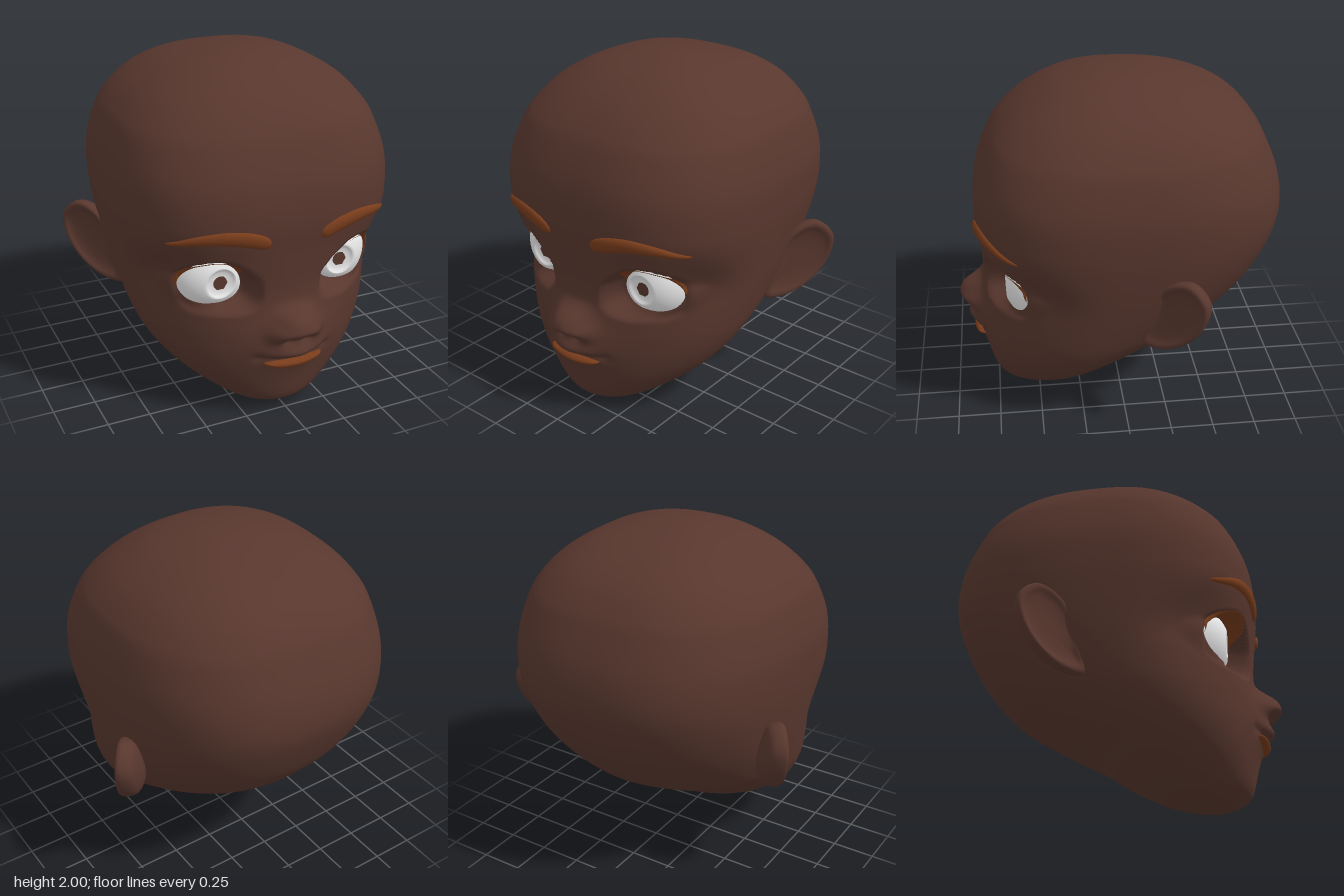
import * as THREE from 'three';

const skin = new THREE.MeshStandardMaterial({ color: 0x58372e });
skin.name = 'brown skin';
const hair = new THREE.MeshStandardMaterial({ color: 0x783c1b });
hair.name = 'copper';
const white = new THREE.MeshStandardMaterial({ color: 0xffffff });
white.name = 'eye white';

// Smooth interpolation through a list, optionally cyclic
function cr(p, t, wrap = false) {
  const n = p.length, i = wrap ? Math.floor(t) : Math.min(Math.floor(t), n - 2), f = t - i;
  const at = (k) => p[wrap ? ((k % n) + n) % n : Math.max(0, Math.min(n - 1, k))];
  const a = at(i - 1), b = at(i), c = at(i + 1), d = at(i + 2);
  return b + 0.5 * f * (c - a + f * (2 * a - 5 * b + 4 * c - d + f * (3 * (b - c) + d - a)));
}
const step = THREE.MathUtils.smoothstep;
const gauss = (d, s) => Math.exp(-0.5 * (d / s) ** 2);
const plateau = (d, s, p) => Math.exp(-(Math.abs(d / s) ** p));

// Surface through rows x cols points; side -1 mirrors it across x
function grid(name, mat, rows, cols, closed, side, fn) {
  const pos = [], idx = [], n = closed ? cols : cols + 1;
  for (let i = 0; i <= rows; i++)
    for (let j = 0; j < n; j++) {
      const p = fn(i, j);
      pos.push(p[0] * side, p[1], p[2]);
    }
  for (let i = 0; i < rows; i++)
    for (let j = 0; j < cols; j++) {
      const k = (j + 1) % n, a = i * n + j, b = i * n + k, c = b + n, d = a + n;
      if (side > 0) idx.push(a, b, c, a, c, d);
      else idx.push(a, c, b, a, d, c);
    }
  const g = new THREE.BufferGeometry();
  g.setAttribute('position', new THREE.Float32BufferAttribute(pos, 3));
  g.setIndex(idx);
  g.computeVertexNormals();
  const m = new THREE.Mesh(g, mat);
  m.name = name;
  return m;
}

// Head profile from chin to crown: height, front z, back z, half width
const levels = [0, .01, .05, .1, .2, .3, .4, .5, .6, .8, 1, 1.2, 1.4, 1.6, 1.7, 1.8, 1.88, 1.94, 1.985, 2];
const front = [.57, .65, .735, .775, .8, .815, .82, .82, .82, .81, .825, .845, .825, .75, .685, .585, .47, .345, .17, .01];
const back = [.57, .48, .31, .19, .015, -.12, -.31, -.475, -.62, -.79, -.895, -.955, -.935, -.855, -.795, -.7, -.57, -.4, -.17, .01];
const width = [0, .1, .23, .33, .47, .575, .65, .7, .73, .77, .8, .82, .817, .765, .708, .615, .495, .36, .175, 0];

// Section at level t, with the depth of its widest point and its front and back roundness
function section(t) {
  const y = cr(levels, t);
  return {
    y, f: cr(front, t), b: cr(back, t), w: cr(width, t),
    c: .57 * Math.exp(-2 * y),
    n: 2 + .7 * step(y, .75, 1.2) - .4 * step(y, 1.4, 1.95),
    nb: 1.8 + .75 * step(y, .3, 1.1),
  };
}

// Eye opening (radius every 30 degrees) and eyeball
const EX = .415, EY = .85;
const eyeRadii = [.175, .155, .136, .130, .128, .138, .158, .176, .142, .125, .139, .166];
const eyeRadius = (a) => cr(eyeRadii, a * 6 / Math.PI, true);
const eyeZ = (x, y) => .45 + Math.sqrt(Math.max(.01, .0576 - (x - .375) ** 2 - (y - .85) ** 2));

// Nose, mouth, temples and eye sockets shaped into the front of the head
function face(x, y, z) {
  x = Math.abs(x);
  z += .11 * plateau(x, .105, 2.6) * plateau(y - .605, y > .605 ? .08 : .065, 3);
  z += .045 * gauss(x - .115, .04) * gauss(y - .565, .04);
  z -= .015 * gauss(x - .06, .025) * gauss(y - .515, .016);
  z += .065 * gauss(x, .18) * gauss(y - .47, .1);
  z += .03 * gauss(x, .1) * gauss(y - .435, .028);
  z -= .024 * plateau(x, .18, 4) * gauss(y - .39 - .5 * x * x, .013);
  z -= .012 * gauss(x - .21, .025) * gauss(y - .405, .025);
  z -= .045 * gauss(x - .67, .08) * gauss(y - .9, .1);
  const dx = x - EX, dy = y - EY, r = Math.hypot(dx, dy);
  if (r < .3) {
    const e = r / eyeRadius(Math.atan2(dy, dx));
    const lid = eyeZ(x, y) + .014 * step(e, .97, 1.1) - .06 * (1 - step(e, .6, 1)) - .004;
    z = THREE.MathUtils.lerp(lid, z, step(e, 1, 1.5 - .2 * step(dy, 0, .1)));
  }
  return z;
}

// Front surface depth at any x, y
function faceZ(x, y) {
  let lo = 0, hi = levels.length - 1;
  for (let k = 0; k < 30; k++) {
    const mid = (lo + hi) / 2;
    if (cr(levels, mid) < y) lo = mid;
    else hi = mid;
  }
  const { f, w, c, n } = section(lo);
  const q = Math.max(0, 1 - (Math.abs(x) / w) ** n);
  return face(x, y, c + (f - c) * q ** (1 / n));
}

function makeHead() {
  const per = 14, rows = (levels.length - 1) * per, cols = 180;
  return grid('head', skin, rows, cols, true, 1, (i, j) => {
    const { y, f, b, w, c, n, nb } = section(i / per);
    const a = (j / cols) * Math.PI * 2, th = a - .35 * Math.sin(a);
    const s = Math.sin(th), k = Math.cos(th), m = k > 0 ? n : nb;
    const r = (Math.abs(s) ** m + Math.abs(k) ** m) ** (-1 / m);
    const x = w * s * r, z = c + (k > 0 ? f - c : c - b) * k * r;
    return [x, y, k > 0 ? face(x, y, z) : z];
  });
}

// Rounded strip lying on the face; path(u) gives x, y, half height, thickness
function strip(name, side, path) {
  const rows = 40, cols = 16;
  return grid(name, hair, rows, cols, true, side, (i, j) => {
    const u = .5 - .5 * Math.cos((i / rows) * Math.PI), p = (j / cols) * Math.PI * 2;
    const taper = Math.sqrt(Math.max(0, 1 - (2 * u - 1) ** 8));
    const [x, y0, h, d] = path(u);
    const y = y0 + h * taper * Math.cos(p);
    return [x, y, faceZ(x, y) + d * taper * Math.sin(p)];
  });
}

// Ear outline (z, y) and its rings of scale and offset, from the back round to the bowl
const earZ = [-.31, -.2, -.13, -.1, -.08, -.19, -.3, -.375, -.395];
const earY = [1.05, 1.0, .86, .7, .58, .585, .67, .8, .95];
const earScale = [0, .4, .75, .93, 1, .96, .86, .7, .4, 0];
const earOffset = [-.12, -.11, -.09, -.06, -.01, .015, .018, .002, -.008, -.01];
function makeEar(side) {
  const per = 4, cols = 54;
  return grid('ear', skin, (earScale.length - 1) * per, cols, true, side, (i, j) => {
    const t = (j / cols) * earZ.length, s = Math.max(0, cr(earScale, i / per)), o = cr(earOffset, i / per);
    const z = -.25 + s * (cr(earZ, t, true) + .25), y = .82 + s * (cr(earY, t, true) - .82);
    return [.62 - .82 * z + .77 * o, y, z + .63 * o];
  });
}

function makeEye(side) {
  const g = new THREE.Group();
  g.name = 'eye';
  const IX = .373, IY = .842;
  // White with a hollow iris: radius and depth of the inner rings
  const iris = [[.088, 0], [.08, -.01], [.065, -.024], [.04, -.03]];
  g.add(grid('eyeWhite', white, 11, 60, true, side, (i, j) => {
    const a = (j / 60) * Math.PI * 2, co = Math.cos(a), si = Math.sin(a), r = eyeRadius(a);
    const [ri, depth] = iris[Math.max(0, i - 8)];
    const k = Math.min(1, i / 8);
    const x = THREE.MathUtils.lerp(EX + r * co, IX + ri * co, k);
    const y = THREE.MathUtils.lerp(EY + r * si, IY + ri * si, k);
    return [x, y, eyeZ(x, y) + depth + .003];
  }));
  const pupil = new THREE.Mesh(new THREE.CircleGeometry(.043, 6), skin);
  pupil.name = 'pupil';
  pupil.position.set(side * IX, IY, eyeZ(IX, IY) - .026);
  g.add(pupil);
  // Upper lash band bulging from the eyeball to the lid edge
  g.add(grid('upperLash', hair, 8, 48, false, side, (i, j) => {
    const u = j / 48, a = THREE.MathUtils.degToRad(170 - 176 * u), thick = Math.sqrt(Math.sin(Math.PI * u) + 1e-6);
    const e = 1 + .27 * (i / 8) * thick;
    const r = eyeRadius(a) * e, x = EX + r * Math.cos(a), y = EY + r * Math.sin(a);
    return [x, y, faceZ(x, y) + .01 + .025 * thick * Math.sin((Math.PI * i) / 8)];
  }));
  return g;
}

export function createModel() {
  const model = new THREE.Group();
  model.name = 'head';
  model.add(makeHead());
  const browY = [1.112, 1.148, 1.165, 1.152, 1.115];
  for (const side of [1, -1]) {
    model.add(makeEar(side), makeEye(side));
    model.add(strip('eyebrow', side, (u) => [.15 + .52 * u, cr(browY, u * 4), .047 - .034 * u * u, .022]));
  }
  model.add(strip('lowerLip', 1, (u) => {
    const x = .36 * (u - .5);
    return [x, .357 + .5 * x * x, .028 - .5 * x * x, .032];
  }));
  return model;
}
